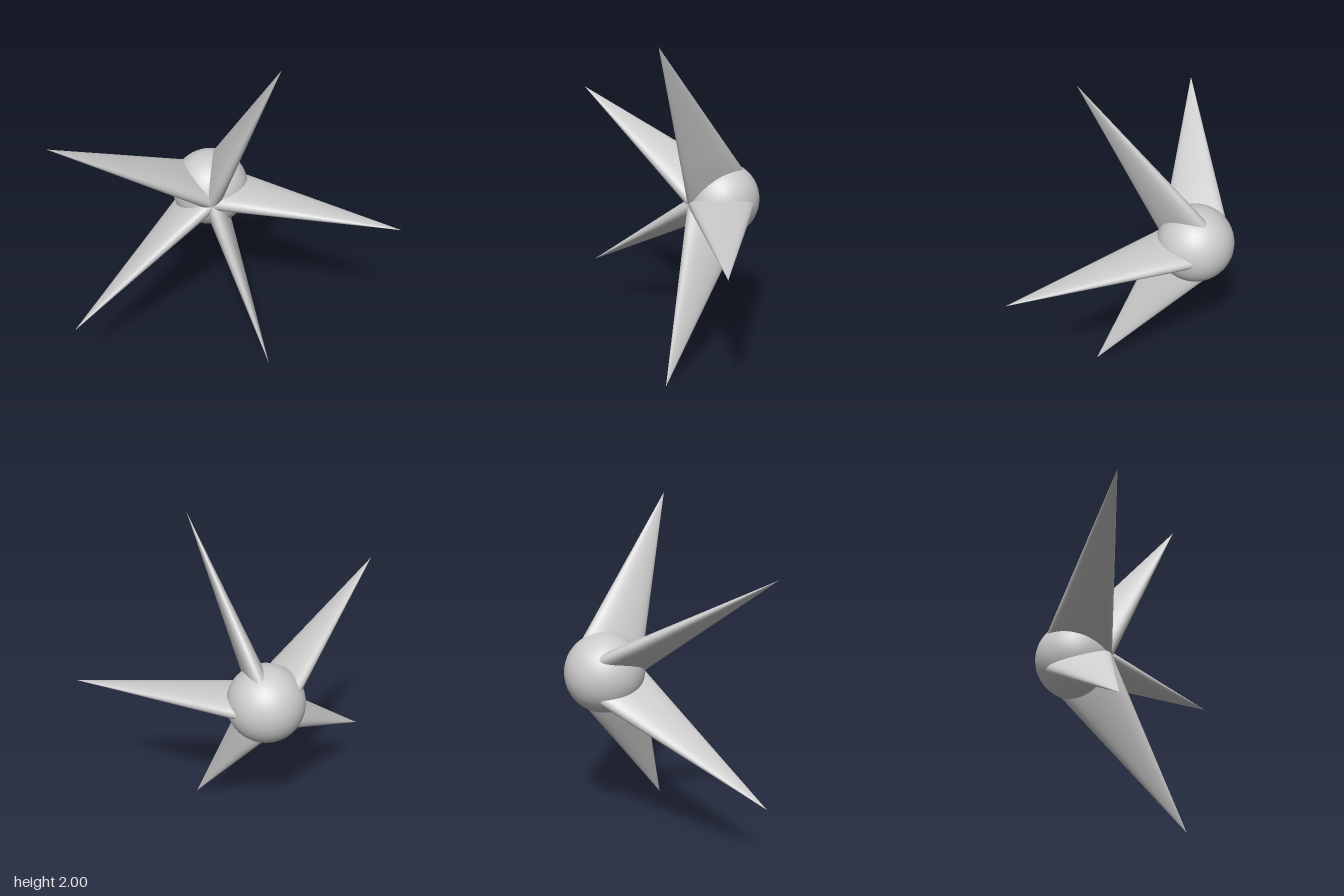
import * as THREE from 'three';

const RADIUS = 0.235;       // ball radius
const SIDES = 36;           // points around a spike
const TIP_R = 1.0515;       // tip distance from the ball's axis
const TIP_Z = 0.56;         // tip distance in front of the ball's centre

// Spike along +x: an oval root wrapped on the ball, tapering straight to a tip
function spikeGeometry() {
  const tip = new THREE.Vector3(TIP_R, 0, TIP_Z);
  const levels = [-1, 0, 0.2, 0.4, 0.6, 0.8, 0.93, 1]; // -1 = sunk inside the ball
  const pos = [], index = [];
  for (const level of levels) {
    for (let i = 0; i < SIDES; i++) {
      const t = (i / SIDES) * Math.PI * 2;
      const phi = THREE.MathUtils.degToRad(58.5 - 58.5 * Math.cos(t));
      const p = new THREE.Vector3(Math.sin(phi), 0.265 * Math.sin(t), Math.cos(phi));
      p.setLength(RADIUS);
      if (level < 0) p.multiplyScalar(0.9);
      else p.lerp(tip, level);
      pos.push(p.x, p.y, p.z);
    }
  }
  for (let l = 0; l < levels.length - 1; l++) {
    for (let i = 0; i < SIDES; i++) {
      const j = (i + 1) % SIDES;
      const a = l * SIDES + i, b = l * SIDES + j, c = a + SIDES, d = b + SIDES;
      index.push(a, c, b);
      if (l < levels.length - 2) index.push(b, c, d);
    }
  }
  const g = new THREE.BufferGeometry();
  g.setAttribute('position', new THREE.Float32BufferAttribute(pos, 3));
  g.setIndex(index);
  g.computeVertexNormals();
  return g;
}

export function createModel() {
  const model = new THREE.Group();
  model.name = 'spikedStar';
  const material = new THREE.MeshStandardMaterial({ color: 0xcccccc, side: THREE.DoubleSide });

  // Central ball
  const ball = new THREE.Mesh(new THREE.SphereGeometry(RADIUS, 40, 24), material);
  ball.name = 'ball';
  model.add(ball);

  // Five forward-swept spikes around the z axis
  const geometry = spikeGeometry();
  for (let i = 0; i < 5; i++) {
    const spike = new THREE.Mesh(geometry, material);
    spike.name = 'spike' + (i + 1);
    spike.rotation.z = (i * Math.PI * 2) / 5;
    model.add(spike);
  }

  model.position.set(-0.1, 1, -0.162);
  const root = new THREE.Group();
  root.name = 'model';
  root.add(model);
  return root;
}
